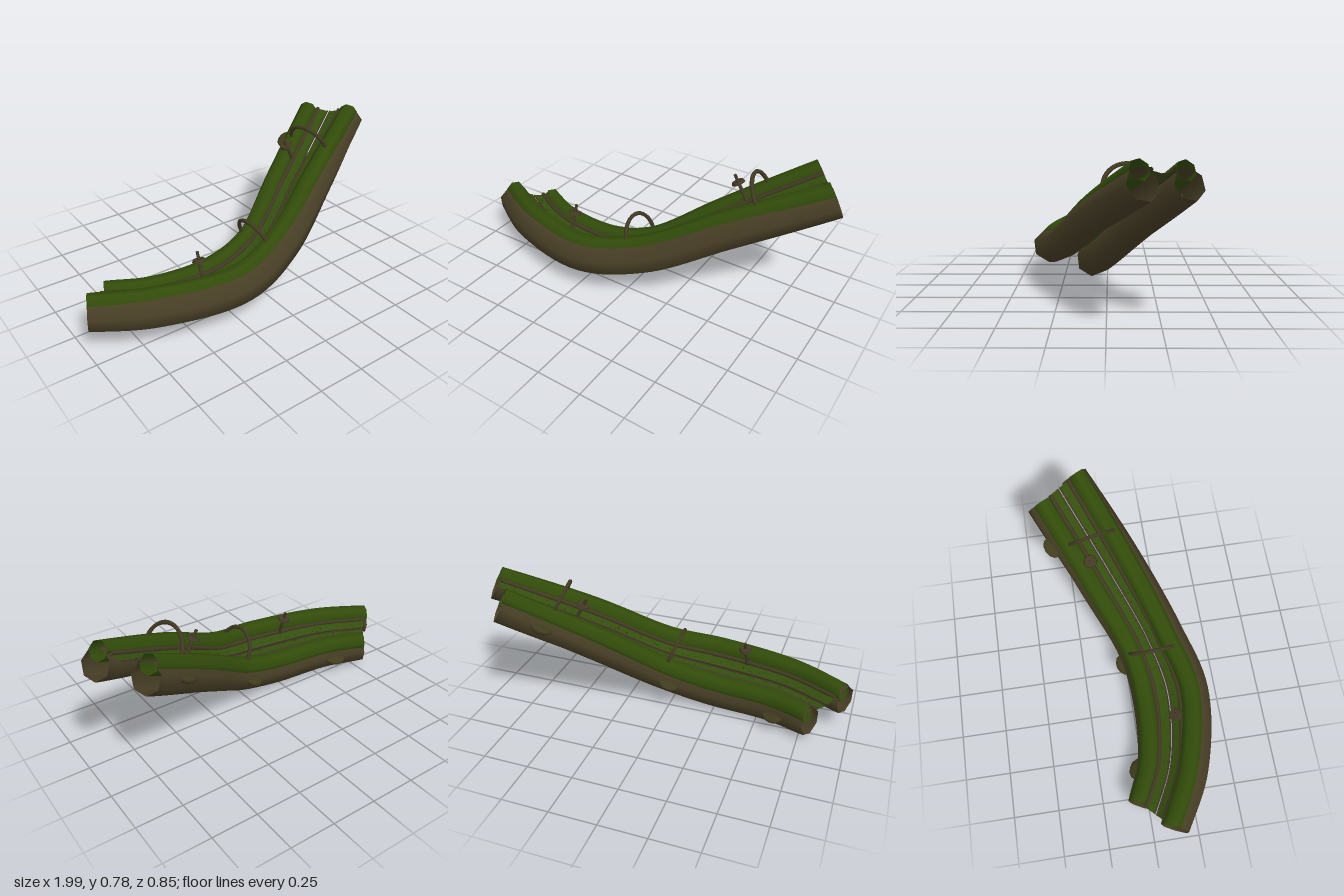
import * as THREE from 'three';
import { mergeGeometries } from 'three/addons/utils/BufferGeometryUtils.js';

const V = (a) => new THREE.Vector3(...a);
// centre lines of the two logs, from the low left end to the high right end
const frontLine = new THREE.CatmullRomCurve3([[-0.96, 0.178, 0.11], [-0.66, 0.176, 0.262], [-0.22, 0.182, 0.341],
  [0.12, 0.255, 0.25], [0.5, 0.453, 0.078], [0.953, 0.67, -0.15]].map(V));
const backLine = new THREE.CatmullRomCurve3([[-0.805, 0.1, -0.04], [-0.58, 0.088, 0.06], [-0.22, 0.094, 0.09],
  [0.06, 0.17, 0.05], [0.4, 0.39, -0.125], [0.812, 0.655, -0.355]].map(V));

// banked frame across both logs: T runs along, S across to the front, U up
function frame(t) {
  const T = frontLine.getTangent(t).add(backLine.getTangent(t)).normalize();
  const across = frontLine.getPoint(t).sub(backLine.getPoint(t));
  const U = across.cross(T).normalize();
  const S = T.clone().cross(U);
  return { T, U, S };
}
// s = 0 on the back log, 1 on the front log; u = height above the centre lines
function place(t, s, u) {
  return backLine.getPoint(t).lerp(frontLine.getPoint(t), s).addScaledVector(frame(t).U, u);
}

// open tube along the logs, slightly narrower at its ends
function sweep(s, u, radius, sides, steps = 40) {
  const pos = [], idx = [];
  for (let i = 0; i <= steps; i++) {
    const t = i / steps, c = place(t, s, u), { S, U } = frame(t);
    const r = radius * (1 - 0.12 * (2 * t - 1) ** 4);
    for (let j = 0; j < sides; j++) {
      const a = (j / sides) * Math.PI * 2;
      pos.push(...c.clone().addScaledVector(S, r * Math.cos(a)).addScaledVector(U, r * Math.sin(a)).toArray());
      const p = i * sides + j, q = i * sides + (j + 1) % sides;
      if (i < steps) idx.push(p, p + sides, q, q, p + sides, q + sides);
    }
  }
  return build(pos, idx);
}

// thin strip between two positions across the trough
function strip(s0, u0, s1, u1, steps = 40) {
  const pos = [], idx = [];
  for (let i = 0; i <= steps; i++) {
    pos.push(...place(i / steps, s0, u0).toArray(), ...place(i / steps, s1, u1).toArray());
    const a = i * 2;
    if (i < steps) idx.push(a, a + 1, a + 2, a + 1, a + 3, a + 2);
  }
  return build(pos, idx);
}

function build(pos, idx) {
  const g = new THREE.BufferGeometry();
  g.setAttribute('position', new THREE.Float32BufferAttribute(pos, 3));
  g.setIndex(idx);
  g.computeVertexNormals();
  return g;
}

export function createModel() {
  const model = new THREE.Group();
  model.name = 'logSlide';

  const material = (name, color) => {
    const m = new THREE.MeshStandardMaterial({ color, side: THREE.DoubleSide });
    m.name = name;
    return m;
  };
  const bark = material('bark', 0x473e25);
  const moss = material('moss', 0x324c0a);
  const bedMoss = material('bedMoss', 0x344e0e);
  const vine = material('vine', 0x423a24);
  const fungus = material('fungus', 0x3f3c1c);

  const add = (name, geometry, mat, parent = model) => {
    const m = new THREE.Mesh(geometry, mat);
    m.name = name;
    parent.add(m);
    return m;
  };
  // stand an object on the slide with its y axis along U and z along T
  const mount = (obj, t, s, u) => {
    const { T, U, S } = frame(t);
    obj.quaternion.setFromRotationMatrix(new THREE.Matrix4().makeBasis(S.negate(), U, T));
    obj.position.copy(place(t, s, u));
  };

  // hollow logs with moss caps, trough beds and root edges, mirrored about the gap
  [['back', 0, 1], ['front', 1, -1]].forEach(([side, s, k]) => {
    add(side + 'Log', sweep(s, 0, 0.09, 7), bark);
    add(side + 'MossCap', sweep(s, 0.063, 0.058, 7), moss);
    const outer = s + k * 0.21, inner = s + k * 0.482;
    const bed = k > 0 ? [outer, 0.062, inner, 0.045] : [inner, 0.045, outer, 0.062];
    add(side + 'Bed', strip(...bed), bedMoss);
    add(side + 'Root', sweep(s + k * 0.24, 0.066, 0.013, 6), vine);
    add(side + 'GapRim', sweep(s + k * 0.474, 0.047, 0.004, 5), vine);
  });

  // vine arches over the trough, turned a little
  for (const t of [0.575, 0.885]) {
    const arch = add('vineArch', new THREE.TorusGeometry(0.125, 0.011, 6, 20, Math.PI), vine);
    mount(arch, t, 0.53, 0.095);
    arch.rotateY(-0.25);
  }

  // stalks with a disc
  for (const [t, s, h] of [[0.32, 0.75, 0.18], [0.85, 0.22, 0.17]]) {
    const g = new THREE.Group();
    g.name = 'mushroom';
    model.add(g);
    add('stalk', new THREE.CylinderGeometry(0.008, 0.011, h, 7), vine, g).position.y = h / 2;
    add('disc', new THREE.CylinderGeometry(0.031, 0.037, 0.014, 10), vine, g).position.y = h * 0.74;
    mount(g, t, s, 0.055);
  }

  // shelf fungi on the outer side of the back log: flat top over a rounded underside
  for (const t of [0.155, 0.57, 0.915]) {
    const g = new THREE.Group();
    g.name = 'shelfFungus';
    model.add(g);
    const half = (start, height) => new THREE.SphereGeometry(1, 12, 4, 0, Math.PI * 2, start, Math.PI / 2)
      .scale(0.045, height, 0.06).translate(0.078, 0, 0);
    add('shelfTop', half(0, 0.012), fungus, g);
    add('shelfUnderside', half(Math.PI / 2, 0.032), bark, g);
    mount(g, t, 0, 0.03);
  }

  // tufts scattered over the beds
  let seed = 7;
  const rand = () => (seed = (seed * 16807) % 2147483647) / 2147483647;
  const tufts = [], holder = new THREE.Object3D();
  for (let i = 0; i < 180; i++) {
    const h = 0.008 + 0.018 * rand() ** 3;
    const s = 0.28 + 0.18 * rand();
    mount(holder, 0.02 + 0.96 * rand(), i % 2 ? s : 1 - s, 0.05);
    holder.updateMatrix();
    tufts.push(new THREE.ConeGeometry(0.004, h, 4).translate(0, h / 2, 0).applyMatrix4(holder.matrix));
  }
  add('tufts', mergeGeometries(tufts), moss);
  return model;
}
